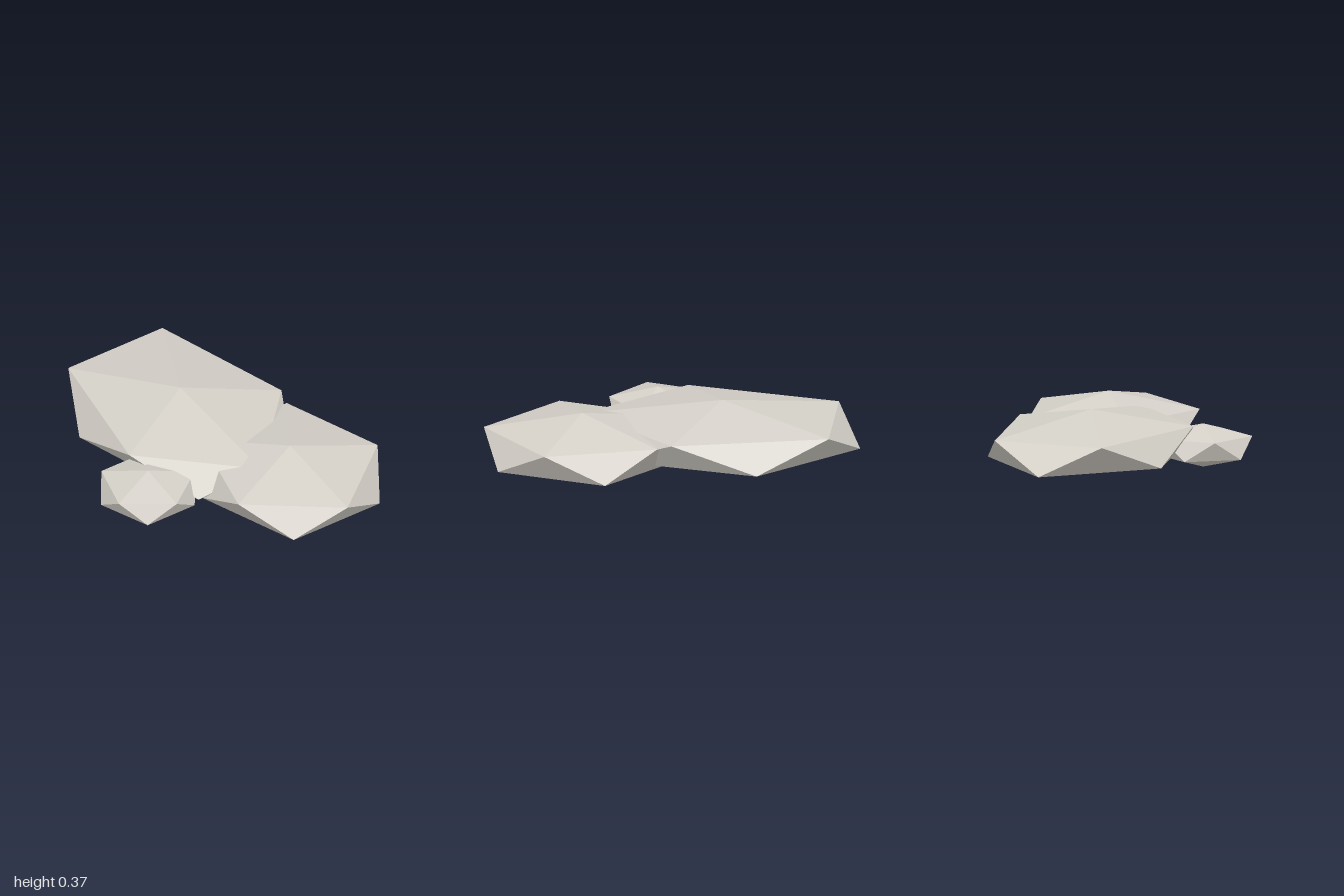
import * as THREE from 'three';

const stone = new THREE.MeshStandardMaterial({ color: 0xd4d0c8, flatShading: true });
stone.name = 'stoneGrey';

// Twenty-sided stone: two poles and two staggered rings of five corners
function stoneGeometry() {
  const ringY = 1 / Math.sqrt(5), ringR = 2 / Math.sqrt(5);
  const corner = (y, turn) => {
    const a = turn * Math.PI / 5;
    return [ringR * Math.cos(a), y, ringR * Math.sin(a)];
  };
  const top = [0, 1, 0], bottom = [0, -1, 0], points = [];
  for (let i = 0; i < 5; i++) {
    const u0 = corner(ringY, 2 * i), u1 = corner(ringY, 2 * i + 2);
    const l0 = corner(-ringY, 2 * i + 1), l1 = corner(-ringY, 2 * i + 3);
    points.push(...top, ...u1, ...u0);
    points.push(...u0, ...u1, ...l0);
    points.push(...u1, ...l1, ...l0);
    points.push(...l0, ...l1, ...bottom);
  }
  const geometry = new THREE.BufferGeometry();
  geometry.setAttribute('position', new THREE.Float32BufferAttribute(points, 3));
  return geometry;
}

// Flattened stone with the given centre and half sizes
function makeStone(name, centre, radii) {
  const geometry = stoneGeometry().scale(...radii).translate(...centre);
  geometry.computeVertexNormals();
  const mesh = new THREE.Mesh(geometry, stone);
  mesh.name = name;
  return mesh;
}

export function createModel() {
  const group = new THREE.Group();
  group.name = 'flatStones';
  group.add(
    makeStone('largeStone', [-0.262, 0.198, -0.045], [0.826, 0.175, 0.588]),
    makeStone('mediumStone', [0.472, 0.172, -0.24], [0.59, 0.172, 0.538]),
    makeStone('smallStone', [0.126, 0.149, 0.446], [0.294, 0.117, 0.294]),
  );
  return group;
}
